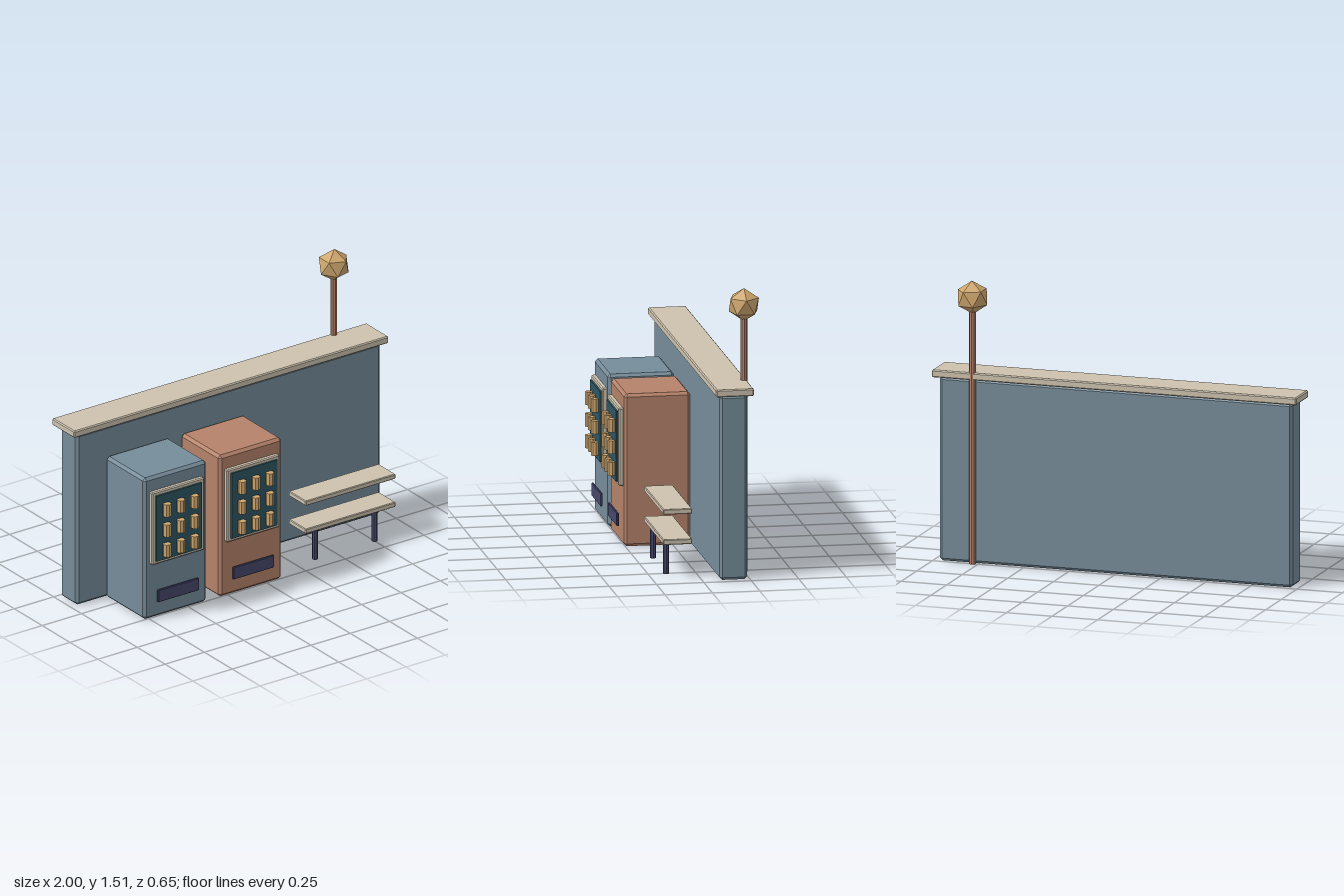
import * as THREE from 'three';
import { ConvexGeometry } from 'three/addons/geometries/ConvexGeometry.js';

const paint = (name, color) => {
  const m = new THREE.MeshStandardMaterial({ color });
  m.name = name;
  m.flatShading = true;
  return m;
};

// Box with chamfered edges: three corner points at each of the eight corners.
function chamferBox(w, h, d, c) {
  const pts = [];
  const [x, y, z] = [w / 2, h / 2, d / 2];
  for (const i of [-1, 1]) for (const j of [-1, 1]) for (const k of [-1, 1]) {
    pts.push(
      new THREE.Vector3(i * x, j * (y - c), k * (z - c)),
      new THREE.Vector3(i * (x - c), j * y, k * (z - c)),
      new THREE.Vector3(i * (x - c), j * (y - c), k * z),
    );
  }
  return new ConvexGeometry(pts);
}

function add(parent, name, geometry, material, x, y, z) {
  const mesh = new THREE.Mesh(geometry, material);
  mesh.name = name;
  mesh.position.set(x, y, z);
  parent.add(mesh);
  return mesh;
}

export function createModel() {
  const blue = paint('steel blue', 0x768c9a);
  const copper = paint('copper', 0xb5826a);
  const cream = paint('cream', 0xcdc2ae);
  const tan = paint('tan', 0xcfa76e);
  const navy = paint('navy', 0x46486c);
  const teal = paint('dark teal', 0x2e5561);

  const model = new THREE.Group();
  model.name = 'vendingStop';

  // Wall and roof cap
  add(model, 'wall', chamferBox(1.935, 0.98, 0.145, 0.014), blue, 0, 0.49, -0.163);
  add(model, 'roofCap', chamferBox(2, 0.04, 0.2, 0.006), cream, 0, 1.0, -0.165);

  // Vending machines
  const canGeometry = new THREE.CylinderGeometry(0.022, 0.022, 0.07, 8);
  function vendingMachine(name, material, x) {
    const g = new THREE.Group();
    g.name = name;
    g.position.x = x;
    add(g, 'cabinet', chamferBox(0.4, 0.81, 0.35, 0.015), material, 0, 0.405, 0.082);
    add(g, 'windowFrame', chamferBox(0.335, 0.415, 0.03, 0.006), cream, 0, 0.523, 0.265);
    add(g, 'window', new THREE.BoxGeometry(0.29, 0.375, 0.012), teal, 0, 0.523, 0.284);
    add(g, 'slot', chamferBox(0.26, 0.07, 0.013, 0.003), navy, 0, 0.13, 0.278);
    for (const y of [0.395, 0.51, 0.625]) {
      for (const dx of [-0.088, 0, 0.088]) add(g, 'can', canGeometry, tan, dx, y, 0.304);
    }
    model.add(g);
  }
  vendingMachine('blueMachine', blue, -0.583);
  vendingMachine('copperMachine', copper, -0.105);

  // Bench: seat, upper board and two legs
  const bench = new THREE.Group();
  bench.name = 'bench';
  model.add(bench);
  const board = chamferBox(0.573, 0.028, 0.153, 0.004);
  add(bench, 'seat', board, cream, 0.577, 0.19, 0.113);
  add(bench, 'upperBoard', board, cream, 0.577, 0.351, 0.113);
  for (const x of [0.375, 0.752]) {
    add(bench, 'leg', new THREE.CylinderGeometry(0.016, 0.016, 0.18, 8), navy, x, 0.09, 0.156);
  }

  // Lamp behind the wall
  add(model, 'lampPole', new THREE.CylinderGeometry(0.018, 0.018, 1.36, 8), copper, 0.78, 0.68, -0.25);
  const globe = add(model, 'lampGlobe', new THREE.IcosahedronGeometry(0.088, 0), tan, 0.78, 1.42, -0.25);
  globe.rotation.z = -0.6;

  return model;
}
